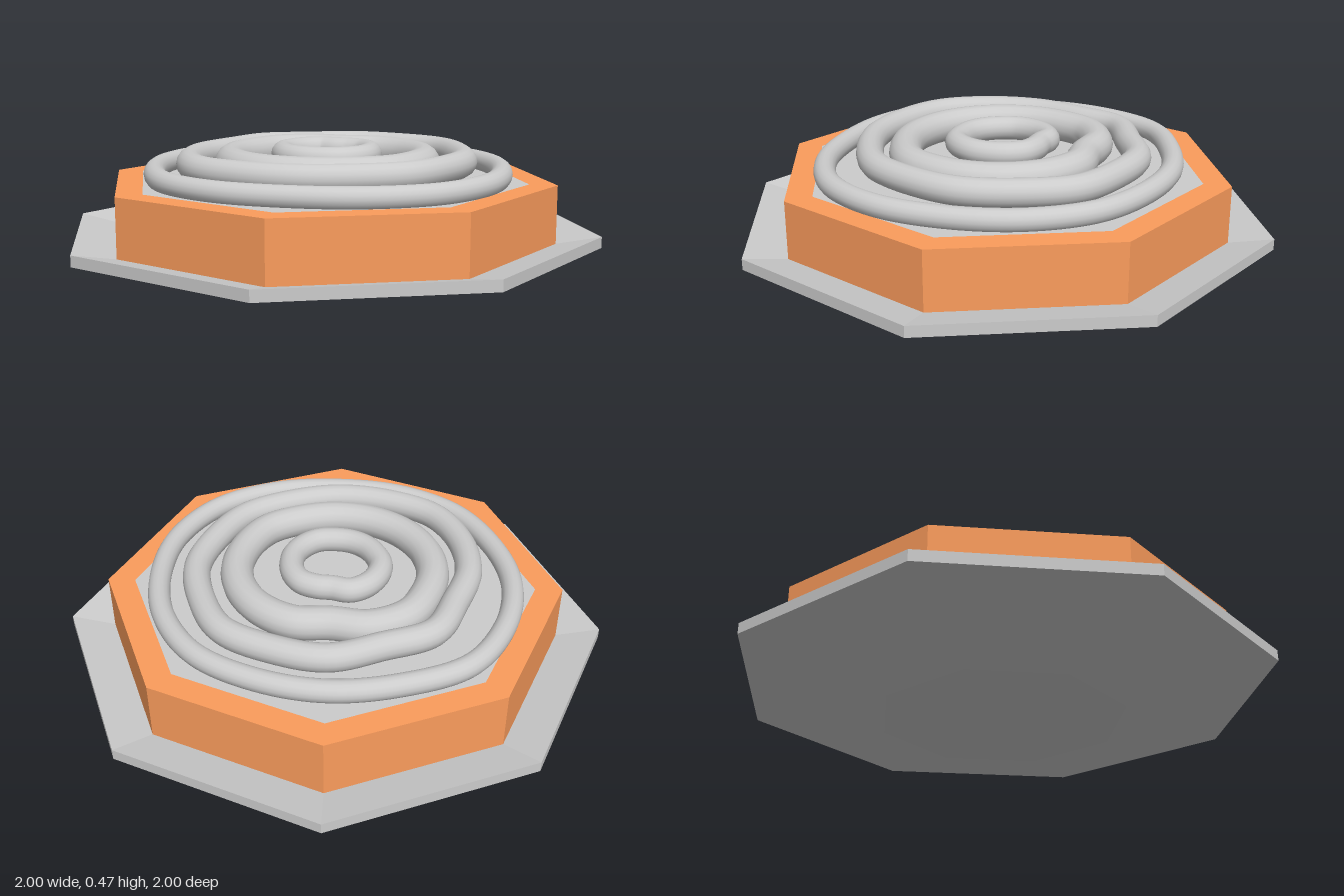
import * as THREE from 'three';

const grey = new THREE.MeshStandardMaterial({ color: 0xcccccc });
const greyFlat = new THREE.MeshStandardMaterial({ color: 0xcccccc, flatShading: true });
const orange = new THREE.MeshStandardMaterial({ color: 0xfb9c5c, flatShading: true });

// Eight-sided turned part; profile points run from bottom, outwards and up
function octagon(name, profile, material) {
  const points = profile.map(([r, y]) => new THREE.Vector2(r, y));
  const mesh = new THREE.Mesh(new THREE.LatheGeometry(points, 8), material);
  mesh.name = name;
  return mesh;
}

// Wobbly closed coil: centre-line radii at equal angles, from +x towards +z
function coil(name, radii, y, thickness) {
  const points = radii.map((r, i) => {
    const a = (i / radii.length) * Math.PI * 2;
    return new THREE.Vector3(r * Math.cos(a), y, r * Math.sin(a));
  });
  const curve = new THREE.CatmullRomCurve3(points, true);
  const mesh = new THREE.Mesh(new THREE.TubeGeometry(curve, 128, thickness, 16, true), grey);
  mesh.name = name;
  return mesh;
}

export function createModel() {
  const group = new THREE.Group();
  group.name = 'coiledDish';

  // Shallow plate with a sloping rim
  group.add(octagon('plate',
    [[0, 0], [0.46, 0], [1, 0.11], [1, 0.15], [0.46, 0.04], [0, 0.04]], greyFlat));

  // Orange wall with a flat top border
  group.add(octagon('tray',
    [[0.84, 0.08], [0.84, 0.33], [0.74, 0.33], [0.74, 0.08]], orange));

  // Flat bed flush with the border
  group.add(octagon('bed', [[0.74, 0.33], [0, 0.33]], greyFlat));

  // Four nested coils, rising towards the middle
  group.add(coil('outerCoil',
    [0.64, 0.64, 0.64, 0.66, 0.67, 0.65, 0.63, 0.64, 0.65, 0.64, 0.65, 0.66, 0.67, 0.63, 0.62, 0.62], 0.36, 0.04));
  group.add(coil('secondCoil',
    [0.52, 0.5, 0.5, 0.49, 0.5, 0.49, 0.5, 0.51, 0.53, 0.51, 0.49, 0.47, 0.5, 0.47, 0.5, 0.5], 0.4, 0.05));
  group.add(coil('thirdCoil',
    [0.345, 0.35, 0.355, 0.36, 0.37, 0.36, 0.36, 0.36, 0.36, 0.36, 0.36, 0.36, 0.37, 0.35, 0.31, 0.335], 0.395, 0.06));
  group.add(coil('innerCoil',
    [0.155, 0.155, 0.155, 0.16, 0.165, 0.17, 0.165, 0.165, 0.165, 0.165, 0.17, 0.17, 0.17, 0.165, 0.14, 0.145], 0.42, 0.045));

  return group;
}
